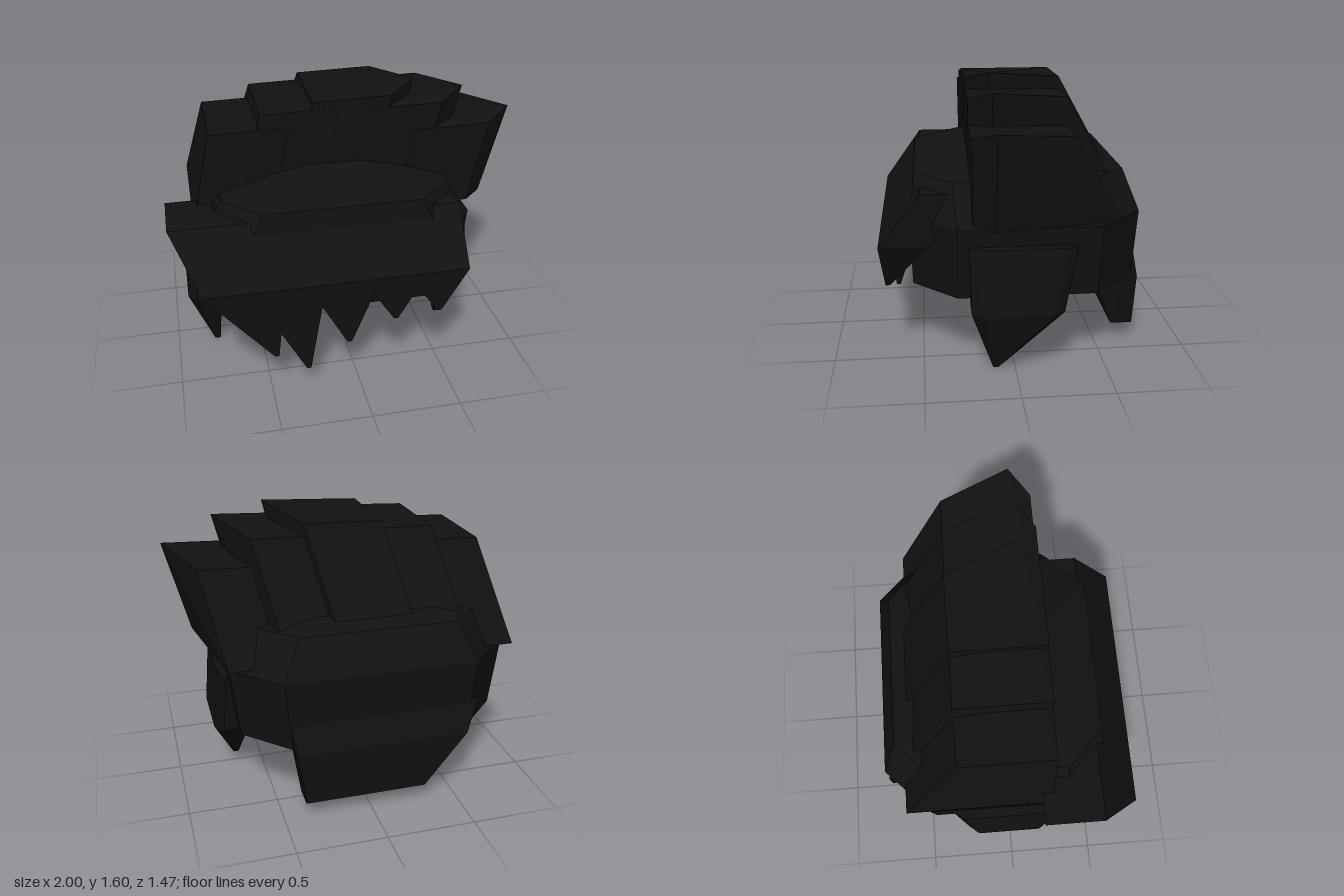
import * as THREE from 'three';
import { ConvexGeometry } from 'three/addons/geometries/ConvexGeometry.js';

const CENTRE = -0.06; // mirror line of the cap and side locks

export function createModel() {
  const group = new THREE.Group();
  const hairBlack = new THREE.MeshStandardMaterial({ color: 0x111111 });
  hairBlack.name = 'hairBlack';

  // faceted solid wrapped around a few corner points
  const solid = (name, points) => {
    const geometry = new ConvexGeometry(points.map(p => new THREE.Vector3(...p)));
    const mesh = new THREE.Mesh(geometry, hairBlack);
    mesh.name = name;
    group.add(mesh);
  };

  // cap: chamfered rings [y, half width, back z, front z, chamfer]
  const rings = [
    [0.43, 0.74, -0.69, 0.55, 0.24],
    [0.83, 0.79, -0.71, 0.56, 0.25],
    [1.05, 0.64, -0.63, 0.53, 0.2],
    [1.18, 0.2, -0.3, 0.23, 0.05],
  ];
  const cap = [];
  for (const [y, w, back, front, c] of rings) {
    for (const s of [-1, 1]) {
      cap.push(
        [CENTRE + s * w, y, back + c], [CENTRE + s * (w - c), y, back],
        [CENTRE + s * w, y, front - c], [CENTRE + s * (w - c), y, front],
      );
    }
  }
  solid('cap', cap);

  // swept crest: five sheared slabs, each with a tip pointing to the left
  const crest = [
    ['crestTop', -0.17, 1.54],
    ['crestInnerRight', -0.46, 1.49],
    ['crestOuterRight', -0.74, 1.4],
    ['crestInnerLeft', 0.12, 1.478],
    ['crestOuterLeft', 0.41, 1.333],
  ];
  for (const [name, x, y] of crest) {
    const base = 0.86, drop = y - base;
    const shift = x - 0.21 * drop;
    solid(name, [
      [x, y, 0.24], [x, y, -0.28],
      [x + 0.435, y + 0.01, 0.24], [x + 0.435, y + 0.01, -0.28],
      [x + 0.59, y + 0.058, 0.12],
      [shift, base, 0.23], [shift, base, -0.28 - 0.58 * drop],
      [shift + 0.435, base, 0.23], [shift + 0.435, base, -0.28 - 0.58 * drop],
      [shift + 0.55, base, 0.12],
    ]);
  }

  // fringe: overhanging brow block
  solid('fringe', [
    [-1, 0.99, 0.17], [-1, 0.99, 0.5], [-0.85, 0.7, 0.73], [-0.85, 0.7, 0.45],
    [0.6, 0.99, 0.17], [0.6, 0.99, 0.5], [0.6, 0.7, 0.73], [0.6, 0.7, 0.45],
  ]);

  // fringe points: [top left x, top right x, tip x, tip y]
  const teeth = [
    [-0.85, -0.42, -0.47, 0.24],
    [-0.6, -0.2, -0.29, 0.12],
    [-0.3, 0.1, -0.06, 0.28],
    [0, 0.36, 0.2, 0.41],
    [0.25, 0.6, 0.45, 0.43],
  ];
  for (const [a, b, x, y] of teeth) {
    const front = 0.73 - 0.1 * (0.7 - y);
    const points = [];
    for (const px of [a, b]) points.push([px, 0.7, 0.73], [px, 0.7, 0.46]);
    for (const px of [x - 0.012, x + 0.012]) points.push([px, y, front], [px, y, front - 0.025]);
    solid('fringePoint', points);
  }

  // side locks, mirrored about the cap centre
  for (const s of [-1, 1]) {
    const at = (x, y, z) => [CENTRE + s * x, y, z];
    solid(s > 0 ? 'leftSideLock' : 'rightSideLock', [
      at(0.83, 0.73, 0.17), at(0.83, 0.73, -0.27),
      at(0.66, 0.73, 0.25), at(0.79, 0.73, 0.25),
      at(0.66, 0.73, -0.33), at(0.79, 0.73, -0.33),
      at(0.86, 0.36, 0.17), at(0.86, 0.36, -0.2),
      at(0.67, 0.36, 0.24), at(0.81, 0.36, 0.24),
      at(0.67, 0.36, -0.26), at(0.81, 0.36, -0.26),
      at(0.72, 0, 0.12), at(0.72, 0, 0.09), at(0.69, 0, 0.12), at(0.69, 0, 0.09),
    ]);
  }

  // nape: broad tapering lock at the back
  solid('napeLock', [
    [-0.62, 0.6, -0.69], [0.46, 0.6, -0.69], [-0.55, 0.41, -0.735], [0.42, 0.41, -0.735],
    [-0.55, 0.43, -0.475], [0.42, 0.43, -0.475],
    [-0.31, 0.1, -0.725], [0.38, 0.1, -0.725], [-0.31, 0.1, -0.6], [0.38, 0.1, -0.6],
  ]);

  return group;
}
